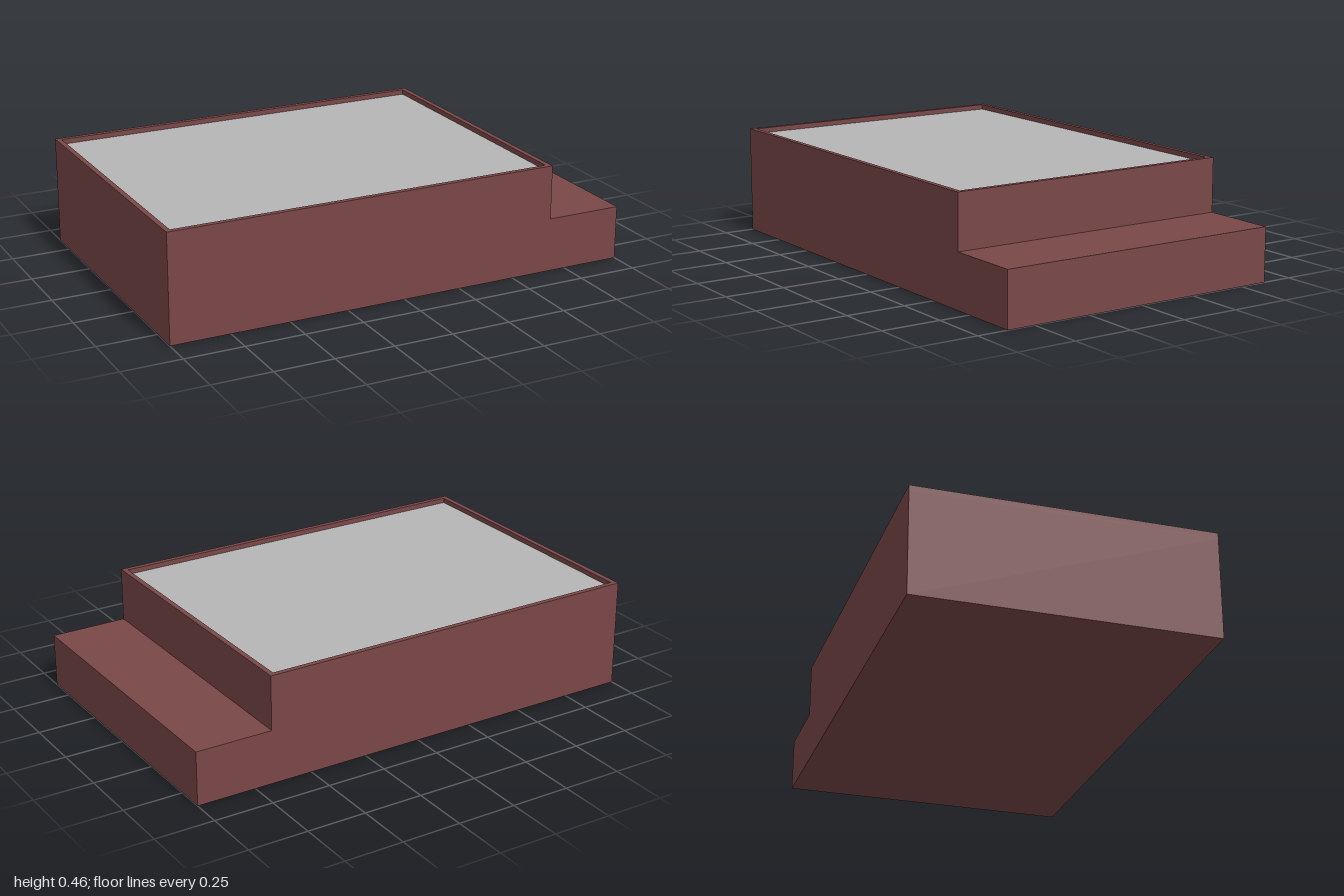
import * as THREE from 'three';

const HALF_Z = 0.62;      // half depth
const STEP_X = 0.675;     // where the raised part ends
const STEP_Y = 0.227;     // height of the low step
const TOP_Y = 0.455;      // top of the rim
const FLOOR_Y = 0.43;     // recessed panel height
const RIM = 0.022;        // rim thickness

function polygon(points, Type = THREE.Shape) {
  return new Type(points.map(([x, y]) => new THREE.Vector2(x, y)));
}

function rectangle(x0, x1, z, Type) {
  return polygon([[x0, -z], [x1, -z], [x1, z], [x0, z]], Type);
}

export function createModel() {
  const group = new THREE.Group();
  group.name = 'steppedPlatform';

  const brown = new THREE.MeshStandardMaterial({ color: 0x7a4747 });
  brown.name = 'reddish brown';
  const grey = new THREE.MeshStandardMaterial({ color: 0xb6b6b6 });
  grey.name = 'light grey';

  const add = (name, geometry, material) => {
    const mesh = new THREE.Mesh(geometry, material);
    mesh.name = name;
    group.add(mesh);
    return mesh;
  };

  // Body: stepped side profile carried through the depth
  const profile = polygon([
    [-1, 0], [1, 0], [1, STEP_Y], [STEP_X, STEP_Y], [STEP_X, FLOOR_Y], [-1, FLOOR_Y],
  ]);
  const body = new THREE.ExtrudeGeometry(profile, { depth: 2 * HALF_Z, bevelEnabled: false });
  add('body', body.translate(0, 0, -HALF_Z), brown);

  // Rim: thin raised frame around the upper part
  const frame = rectangle(-1, STEP_X, HALF_Z);
  frame.holes.push(rectangle(-1 + RIM, STEP_X - RIM, HALF_Z - RIM, THREE.Path));
  const rim = new THREE.ExtrudeGeometry(frame, { depth: TOP_Y - FLOOR_Y, bevelEnabled: false });
  add('rim', rim.rotateX(-Math.PI / 2).translate(0, FLOOR_Y, 0), brown);

  // Panel: flat grey surface set inside the rim
  const panel = new THREE.BoxGeometry(STEP_X + 1 - 2 * RIM, 0.004, 2 * (HALF_Z - RIM));
  add('topPanel', panel, grey).position.set((STEP_X - 1) / 2, FLOOR_Y + 0.002, 0);

  return group;
}
